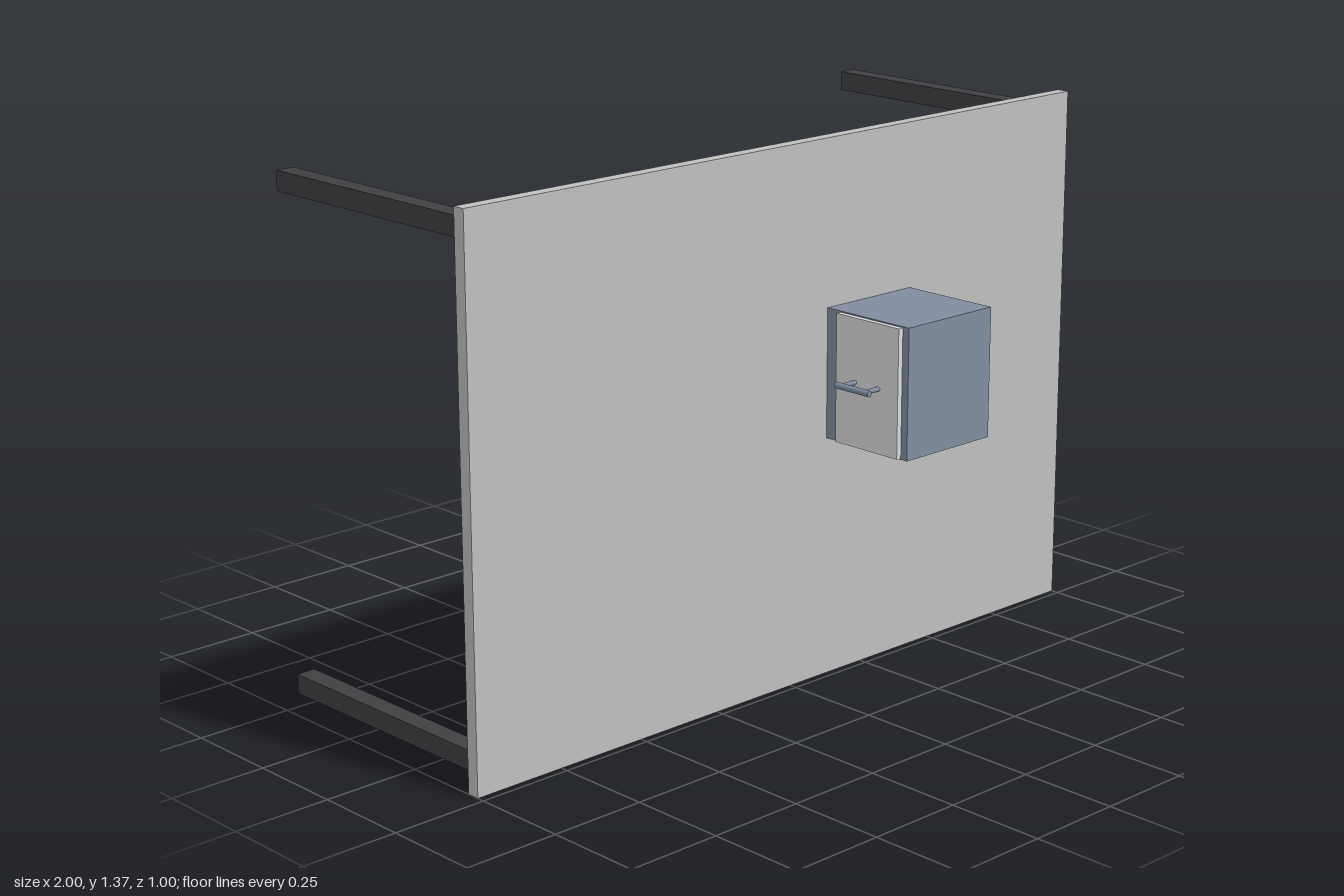
import * as THREE from 'three';

const mat = (name, color) => Object.assign(new THREE.MeshStandardMaterial({ color }), { name });

export function createModel() {
  const group = new THREE.Group();
  const grey = mat('light grey', 0xc0c0c0);
  const charcoal = mat('charcoal', 0x404044);
  const slate = mat('slate blue', 0x808da0);
  const pale = mat('pale grey', 0xdcdcdc);

  const add = (name, geometry, material) => {
    const mesh = new THREE.Mesh(geometry, material);
    mesh.name = name;
    group.add(mesh);
    return mesh;
  };
  // Box given by its minimum and maximum corners
  const box = (name, a, b, material) =>
    add(name, new THREE.BoxGeometry(b[0] - a[0], b[1] - a[1], b[2] - a[2]), material)
      .position.set((a[0] + b[0]) / 2, (a[1] + b[1]) / 2, (a[2] + b[2]) / 2);

  // Table top, standing on its edge
  box('tableTop', [-1, 0, 0.198], [1, 1.367, 0.231], grey);

  // Four legs pointing backwards
  for (const x of [-0.94, 0.94])
    for (const y of [0.06, 1.31])
      box('leg', [x - 0.025, y - 0.025, -0.5], [x + 0.025, y + 0.025, 0.198], charcoal);

  // Cabinet through the table top, with its door on the right side
  box('cabinet', [0.12, 0.618, 0.083], [0.412, 0.948, 0.5], slate);
  box('door', [0.106, 0.621, 0.275], [0.12, 0.945, 0.48], pale);

  // Door handle: round bar on two posts
  const y = 0.784;
  const bar = add('handleBar', new THREE.CylinderGeometry(0.008, 0.008, 0.11, 16), slate);
  bar.rotation.x = Math.PI / 2;
  bar.position.set(0.059, y, 0.377);
  for (const z of [0.338, 0.416]) {
    const post = add('handlePost', new THREE.CylinderGeometry(0.006, 0.006, 0.048, 12), slate);
    post.rotation.z = Math.PI / 2;
    post.position.set(0.083, y, z);
  }
  return group;
}
